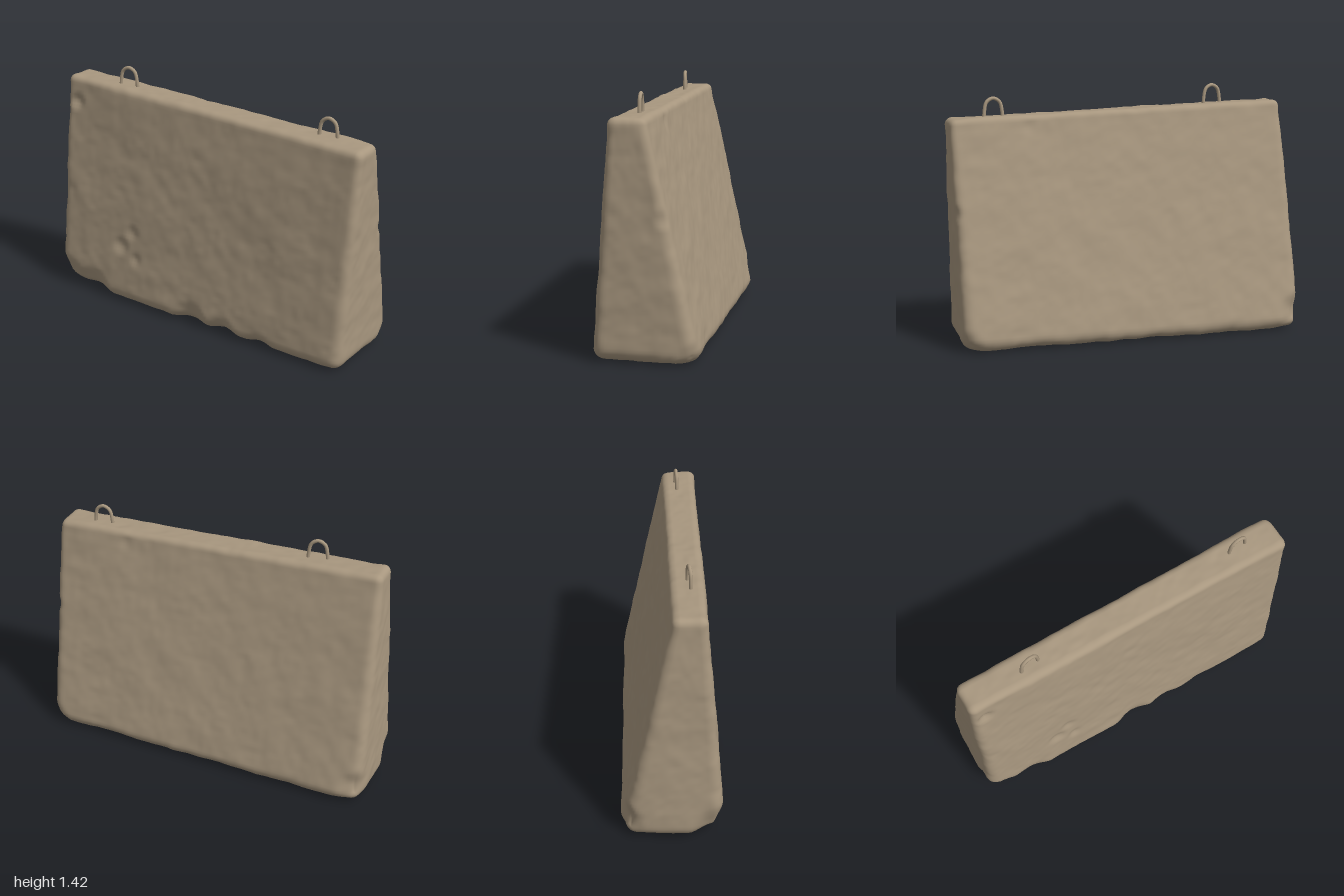
import * as THREE from 'three';
import { mergeVertices } from 'three/addons/utils/BufferGeometryUtils.js';

const { lerp, clamp, smoothstep } = THREE.MathUtils;

// Seeded lattice value noise, in the range -1..1
function hash(x, y, z) {
  let h = Math.imul(x, 374761393) ^ Math.imul(y, 668265263) ^ Math.imul(z, 2147483647 - 58476);
  h = Math.imul(h ^ (h >>> 13), 1274126177);
  return ((h ^ (h >>> 16)) >>> 0) / 2147483648 - 1;
}
function noise(x, y, z) {
  const i = Math.floor(x), j = Math.floor(y), k = Math.floor(z);
  const f = (t) => t * t * (3 - 2 * t);
  const u = f(x - i), v = f(y - j), w = f(z - k);
  const row = (b, c) => lerp(hash(i, b, c), hash(i + 1, b, c), u);
  const plane = (c) => lerp(row(j, c), row(j + 1, c), v);
  return lerp(plane(k), plane(k + 1), w);
}

// Chips and hollows: x, y, z, radius, depth
const dents = [
  [-0.88, 1.17, 0.18, 0.06, 0.022],
  [-0.53, 0.36, 0.26, 0.07, 0.018],
  [-0.45, 0.46, 0.25, 0.06, 0.015],
  [-0.42, 0.3, 0.26, 0.05, 0.012],
  [-0.98, 0.02, 0.26, 0.2, 0.06],
  [-0.75, 0.02, 0.27, 0.16, 0.04],
  [-0.02, 0.02, 0.27, 0.15, 0.035],
  [0.2, 0.01, 0.27, 0.13, 0.03],
  [0.45, 0.01, 0.27, 0.1, 0.02],
  [-0.98, 0.1, -0.27, 0.13, 0.04],
  [0.97, 0.02, -0.27, 0.12, 0.03],
  [0.55, 1.2, 0.0, 0.06, 0.012],
  [0.99, 0.75, -0.11, 0.06, 0.012],
];

// Tapered block with worn round edges and a cast, uneven surface
function blockGeometry() {
  const half = [1, 0.65, 0.25], edge = 0.06;
  let geo = new THREE.BoxGeometry(2, 1.3, 0.5, 110, 72, 28);
  geo.deleteAttribute('uv');
  geo.deleteAttribute('normal');
  geo = mergeVertices(geo, 1e-4);
  const pos = geo.attributes.position;
  const n = new THREE.Vector3(), p = new THREE.Vector3();
  for (let i = 0; i < pos.count; i++) {
    const q = [pos.getX(i), pos.getY(i), pos.getZ(i)];
    const core = q.map((a, k) => clamp(a, edge - half[k], half[k] - edge));
    const [u, s, w] = core.map((a, k) => 0.5 + a / (half[k] - edge) / 2);
    n.set(q[0] - core[0], q[1] - core[1], q[2] - core[2]).normalize();

    // Inset core of the tapered block, then push out by the edge radius
    const r = lerp(0.065, 0.04, s);
    const x = lerp(lerp(-1, -0.95, s) + r, lerp(0.975, 0.993, s) - r, u);
    const y = lerp(0.008 + r, 1.322 - (x + 0.95) * 0.036 - r, s);
    const t = y / 1.3;
    const z = lerp(lerp(-0.292, -0.006, t) + r, lerp(0.283, 0.17, t) - r, w);
    p.set(x, y, z).addScaledVector(n, r);

    // Rough casting, strongest along the bottom edges
    const wear = 1 - smoothstep(p.y, 0.03, 0.22);
    let d = 0.004 * noise(p.x * 5, p.y * 5, p.z * 5)
      + 0.003 * noise(p.x * 13 + 7, p.y * 13, p.z * 13)
      + 0.0015 * noise(p.x * 30, p.y * 30 + 3, p.z * 30);
    d += wear * 0.008 * (noise(p.x * 9, p.y * 9 + 5, p.z * 9) - 0.3) * (1 - Math.abs(n.y) * 0.6);
    for (const [a, b, c, rad, depth] of dents) {
      const k = Math.hypot(p.x - a, p.y - b, p.z - c) / rad;
      if (k < 1) d -= depth * (1 - k * k) ** 2;
    }
    p.addScaledVector(n, d);
    pos.setXYZ(i, p.x, p.y, p.z);
  }
  geo.computeBoundingBox();
  geo.translate(0, -geo.boundingBox.min.y, 0);
  geo.computeVertexNormals();
  return geo;
}

// Bent lifting bar: two legs sunk into the block, joined by an arch
function loopGeometry(x, top, z, slant) {
  const outline = [[-0.053, -0.18], [-0.05, -0.08], [-0.036, -0.03], [0, -0.011],
    [0.036, -0.03], [0.05, -0.08], [0.053, -0.18]];
  const points = outline.map(([dx, dy]) => new THREE.Vector3(x + dx, top + dy, z - dx * slant));
  return new THREE.TubeGeometry(new THREE.CatmullRomCurve3(points), 40, 0.01, 10);
}

export function createModel() {
  const concrete = new THREE.MeshStandardMaterial({ color: 0xa8977f });
  concrete.name = 'concrete';

  const group = new THREE.Group();
  group.name = 'concreteBarrier';
  const add = (name, geometry) => {
    const mesh = new THREE.Mesh(geometry, concrete);
    mesh.name = name;
    group.add(mesh);
  };
  add('block', blockGeometry());
  add('rightLiftingLoop', loopGeometry(-0.558, 1.42, 0.09, 0.15));
  add('leftLiftingLoop', loopGeometry(0.738, 1.37, 0.06, 0.08));
  return group;
}
